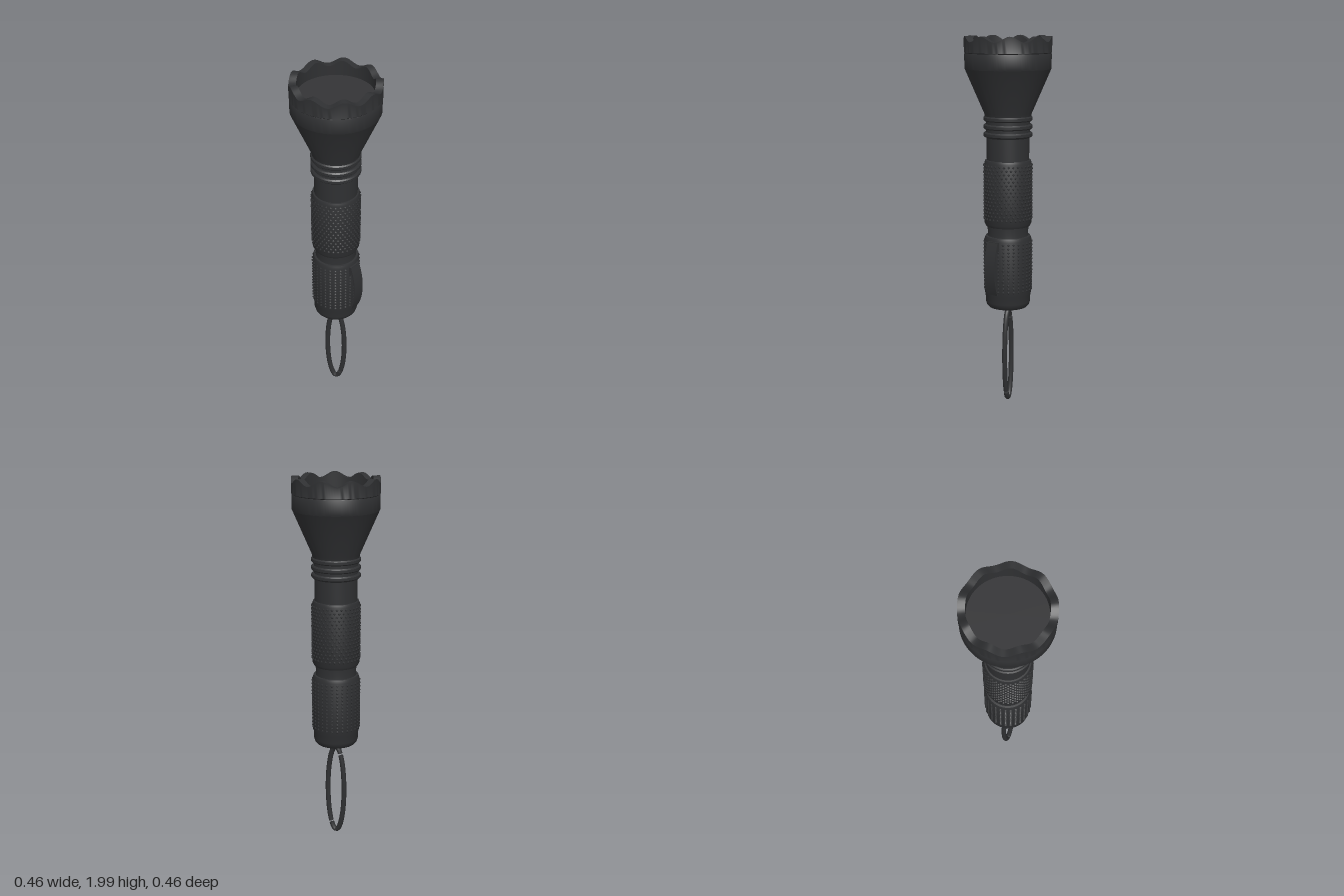
import * as THREE from 'three';
import { mergeGeometries, toCreasedNormals } from 'three/addons/utils/BufferGeometryUtils.js';

const dark = new THREE.MeshStandardMaterial({ color: 0x2f3032 });
const lensMat = new THREE.MeshStandardMaterial({ color: 0x343436 });

const add = (parent, name, geometry, material = dark) => {
  const mesh = new THREE.Mesh(geometry, material);
  mesh.name = name;
  parent.add(mesh);
  return mesh;
};

// Turned part from [radius, y] pairs, listed bottom to top on the outside
const turned = (pairs, segments = 64) =>
  new THREE.LatheGeometry(pairs.map(([r, y]) => new THREE.Vector2(r, y)), segments);
const creased = (geometry) => toCreasedNormals(geometry, 0.5);

// Staggered rows of small four-sided studs around a cylinder
function studs(radius, y0, y1, rows, columns, stagger) {
  const list = [];
  for (let i = 0; i < rows; i++) {
    const y = THREE.MathUtils.lerp(y0, y1, i / (rows - 1));
    for (let j = 0; j < columns; j++) {
      const stud = new THREE.CylinderGeometry(0.004, 0.009, 0.008, 4, 1);
      stud.rotateX(Math.PI / 2);
      stud.translate(0, y, radius + 0.002);
      stud.rotateY(((j + (i % 2) * stagger) / columns) * Math.PI * 2);
      list.push(stud);
    }
  }
  return mergeGeometries(list);
}

// Head ring with a nine-wave crenellated rim
function bezel() {
  const g = turned([
    [0.226, 1.83], [0.228, 1.835], [0.228, 1.908], [0.226, 1.912],
    [0.23, 1.916], [0.23, 2], [0.193, 2], [0.193, 1.91],
  ], 108);
  const p = g.attributes.position;
  for (let i = 0; i < p.count; i++) {
    if (p.getY(i) < 1.99) continue;
    const angle = Math.atan2(p.getZ(i), p.getX(i));
    p.setY(i, 2 - 0.015 * (1 - Math.cos(9 * angle)));
  }
  return creased(g);
}

// Section of the elongated split ring
class RingArc extends THREE.Curve {
  constructor(from, to) {
    super();
    this.from = from;
    this.to = to;
  }
  getPoint(t, target = new THREE.Vector3()) {
    const a = THREE.MathUtils.lerp(this.from, this.to, t);
    return target.set(0.052 * Math.cos(a), 0.268 + 0.252 * Math.sin(a), 0);
  }
}

export function createModel() {
  const model = new THREE.Group();
  model.name = 'flashlight';

  // Head
  const head = new THREE.Group();
  head.name = 'head';
  model.add(head);
  add(head, 'bezel', bezel());
  add(head, 'headCone', creased(turned([[0.1, 1.575], [0.122, 1.58], [0.126, 1.6], [0.226, 1.83]], 96)));
  const lens = add(head, 'lens', new THREE.CircleGeometry(0.194, 64), lensMat);
  lens.rotation.x = -Math.PI / 2;
  lens.position.y = 1.92;

  // Cooling fins
  for (const y of [1.488, 1.53, 1.572]) {
    add(head, 'coolingFin', creased(turned([
      [0.1, y - 0.013], [0.124, y - 0.013], [0.13, y - 0.007],
      [0.13, y + 0.007], [0.124, y + 0.013], [0.1, y + 0.013],
    ])));
  }

  // Barrel: neck, grip sleeve and groove
  const barrel = new THREE.Group();
  barrel.name = 'barrel';
  model.add(barrel);
  add(barrel, 'neck', creased(turned([[0.113, 1.33], [0.113, 1.47], [0.116, 1.475], [0.116, 1.6]])));
  add(barrel, 'grip', creased(turned([
    [0.1, 0.995], [0.118, 0.997], [0.126, 1.012], [0.126, 1.338], [0.121, 1.352], [0.1, 1.355],
  ])));
  add(barrel, 'gripStuds', studs(0.126, 1.04, 1.325, 16, 32, 0.5));
  add(barrel, 'groove', creased(turned([[0.112, 0.92], [0.108, 0.96], [0.112, 1.01]])));

  // Tail cap
  const tail = new THREE.Group();
  tail.name = 'tailCap';
  model.add(tail);
  add(tail, 'tailBody', creased(turned([
    [0, 0.543], [0.088, 0.543], [0.104, 0.548], [0.115, 0.56], [0.121, 0.58], [0.122, 0.618],
    [0.126, 0.628], [0.126, 0.925], [0.12, 0.942], [0.1, 0.945],
  ])));
  add(tail, 'tailStuds', studs(0.126, 0.65, 0.91, 14, 28, 0));

  // Bowed pocket clip on the left side
  const outer = new THREE.QuadraticBezierCurve(
    new THREE.Vector2(0.134, 0.925), new THREE.Vector2(0.19, 0.77), new THREE.Vector2(0.138, 0.635));
  const edge = outer.getPoints(20);
  const inner = edge.map((p) => new THREE.Vector2(p.x - 0.008, p.y)).reverse();
  const clip = new THREE.ExtrudeGeometry(new THREE.Shape([...edge, ...inner]), { depth: 0.068, bevelEnabled: false });
  clip.translate(0, 0, -0.034);
  add(model, 'pocketClip', creased(clip));
  const foot = add(model, 'clipFoot', new THREE.BoxGeometry(0.02, 0.05, 0.068));
  foot.position.set(0.125, 0.9, 0);

  // Split ring in two arcs with small gaps
  const ring = new THREE.Group();
  ring.name = 'lanyardRing';
  ring.rotation.y = THREE.MathUtils.degToRad(17);
  model.add(ring);
  const start = -0.98;
  for (const from of [start, start + Math.PI]) {
    const arc = new RingArc(from + 0.04, from + Math.PI - 0.04);
    add(ring, 'ringHalf', new THREE.TubeGeometry(arc, 48, 0.014, 10));
    for (const [t, sign] of [[0, -1], [1, 1]]) {
      const cap = add(ring, 'ringEnd', new THREE.CircleGeometry(0.014, 10));
      cap.position.copy(arc.getPoint(t));
      cap.quaternion.setFromUnitVectors(new THREE.Vector3(0, 0, 1), arc.getTangent(t).multiplyScalar(sign));
    }
  }
  return model;
}
